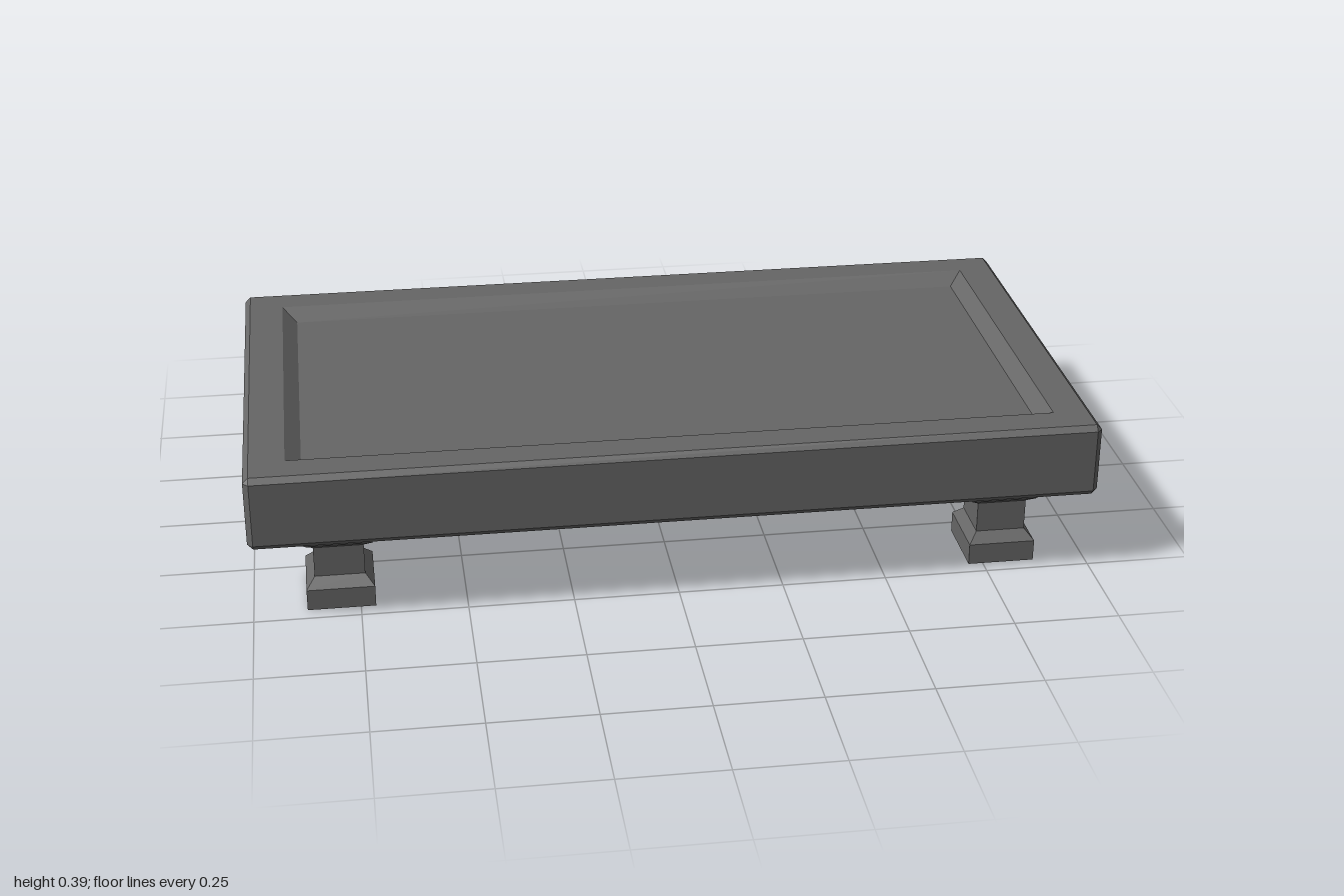
import * as THREE from 'three';

const material = new THREE.MeshStandardMaterial({
  color: 0x666666, flatShading: true, side: THREE.DoubleSide,
});

// Rectangle outline with optionally cut corners, counterclockwise from above.
function ring([halfX, halfZ, y, cut = 0]) {
  const points = [];
  for (const [sx, sz] of [[1, 1], [1, -1], [-1, -1], [-1, 1]]) {
    const alongX = [sx * (halfX - cut), y, sz * halfZ];
    const alongZ = [sx * halfX, y, sz * (halfZ - cut)];
    points.push(...(sx === sz ? [alongX, alongZ] : [alongZ, alongX]));
  }
  return points;
}

// Flat-faced skin through a stack of rectangular outlines, optionally closed at the end.
function loft(sections, closeEnd = false) {
  const rings = sections.map(ring);
  const positions = [];
  const same = (p, q) => p.every((v, i) => Math.abs(v - q[i]) < 1e-6);
  const tri = (a, b, c) => {
    if (!same(a, b) && !same(b, c) && !same(c, a)) positions.push(...a, ...b, ...c);
  };
  for (let r = 0; r < rings.length - 1; r++) {
    const lower = rings[r], upper = rings[r + 1];
    for (let i = 0; i < 8; i++) {
      const j = (i + 1) % 8;
      tri(lower[i], lower[j], upper[j]);
      tri(lower[i], upper[j], upper[i]);
    }
  }
  if (closeEnd) {
    const last = rings[rings.length - 1];
    for (let i = 1; i < 7; i++) tri(last[0], last[i], last[i + 1]);
  }
  const geometry = new THREE.BufferGeometry();
  geometry.setAttribute('position', new THREE.Float32BufferAttribute(positions, 3));
  geometry.computeVertexNormals();
  return geometry;
}

export function createModel() {
  const model = new THREE.Group();
  model.name = 'lowTrayTable';

  // Tray top: a thin shell, open below, with bevelled edges and a shallow sunken floor
  const tray = new THREE.Mesh(loft([
    [0.987, 0.52, 0.203],
    [1, 0.533, 0.217, 0.013],
    [1, 0.533, 0.373, 0.013],
    [0.987, 0.52, 0.386],
    [0.904, 0.443, 0.386],
    [0.868, 0.398, 0.36],
  ], true), material);
  tray.name = 'trayTop';
  model.add(tray);

  // Legs: hollow square pillars with a narrow neck
  const legGeometry = loft([
    [0.08, 0.085, 0],
    [0.08, 0.085, 0.052],
    [0.059, 0.061, 0.076],
    [0.059, 0.061, 0.152],
    [0.08, 0.085, 0.169],
    [0.08, 0.085, 0.204],
  ]);
  for (const [sz, depth] of [[1, 'front'], [-1, 'back']]) {
    for (const [sx, side] of [[1, 'Left'], [-1, 'Right']]) {
      const leg = new THREE.Mesh(legGeometry, material);
      leg.name = `${depth}${side}Leg`;
      leg.position.set(sx * 0.795, 0, sz * 0.377);
      model.add(leg);
    }
  }
  return model;
}
